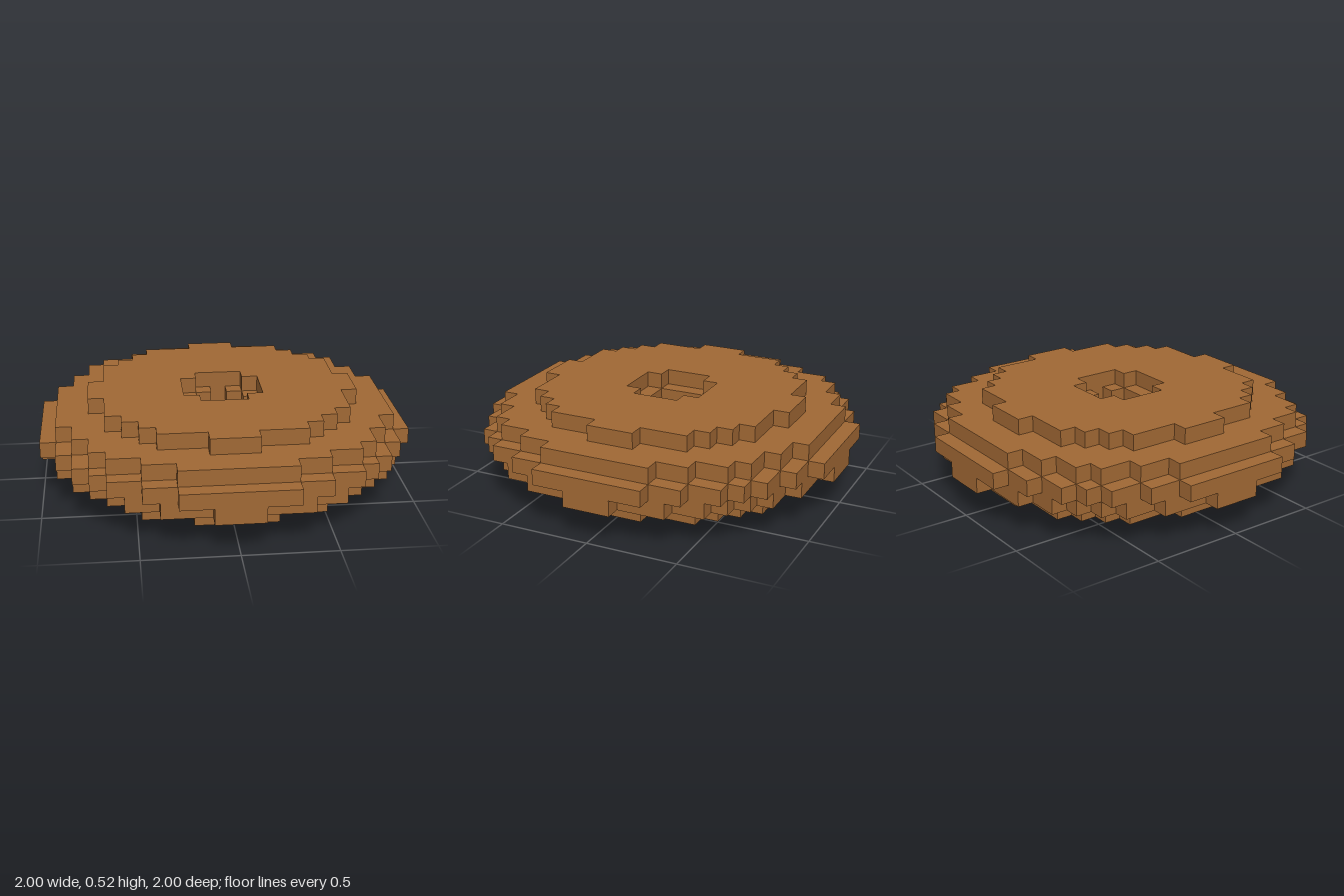
import * as THREE from 'three';
import { mergeGeometries } from 'three/addons/utils/BufferGeometryUtils.js';

const N = 23;              // blocks across the widest layer
const U = 2 / N;           // block size
const R = 11;              // outermost block index
const CX = 0.001, CZ = -0.001; // tiny centre offset that settles blocks lying exactly on a radius

// Layers from bottom to top: squared outer and hole radii, in blocks
const LAYERS = [
  { name: 'foot', outer: 20, hole: 4 },
  { name: 'lowerBody', outer: 89.5, hole: 4 },
  { name: 'lowerRim', outer: 123, hole: 4 },
  { name: 'upperRim', outer: 133, hole: 4 },
  { name: 'shoulder', outer: 114.5, hole: 4 },
  { name: 'topDisc', outer: 66, hole: 6 },
];

// Is there a block at this grid position?
function solid(x, y, z) {
  const layer = LAYERS[y];
  if (!layer) return false;
  const d = (x - CX) ** 2 + (z - CZ) ** 2;
  return d <= layer.outer && d > layer.hole;
}

// One outward square for each side of a block
const SIDES = [
  [1, 0, 0], [-1, 0, 0], [0, 1, 0], [0, -1, 0], [0, 0, 1], [0, 0, -1],
].map(([x, y, z]) => {
  const face = new THREE.PlaneGeometry(U, U);
  if (y) face.rotateX(-y * Math.PI / 2);
  else face.rotateY(Math.atan2(x, z));
  face.translate(x * U / 2, y * U / 2, z * U / 2);
  return { x, y, z, face };
});

// Only the exposed sides of the blocks in a layer
function layerGeometry(y) {
  const faces = [];
  for (let x = -R; x <= R; x++) {
    for (let z = -R; z <= R; z++) {
      if (!solid(x, y, z)) continue;
      for (const s of SIDES) {
        if (solid(x + s.x, y + s.y, z + s.z)) continue;
        faces.push(s.face.clone().translate(x * U, (y + 0.5) * U, z * U));
      }
    }
  }
  return mergeGeometries(faces);
}

export function createModel() {
  const model = new THREE.Group();
  model.name = 'blockRing';
  const brown = new THREE.MeshStandardMaterial({ color: 0xa06834 });
  brown.name = 'brown';

  LAYERS.forEach((layer, y) => {
    const mesh = new THREE.Mesh(layerGeometry(y), brown);
    mesh.name = layer.name;
    model.add(mesh);
  });
  return model;
}
